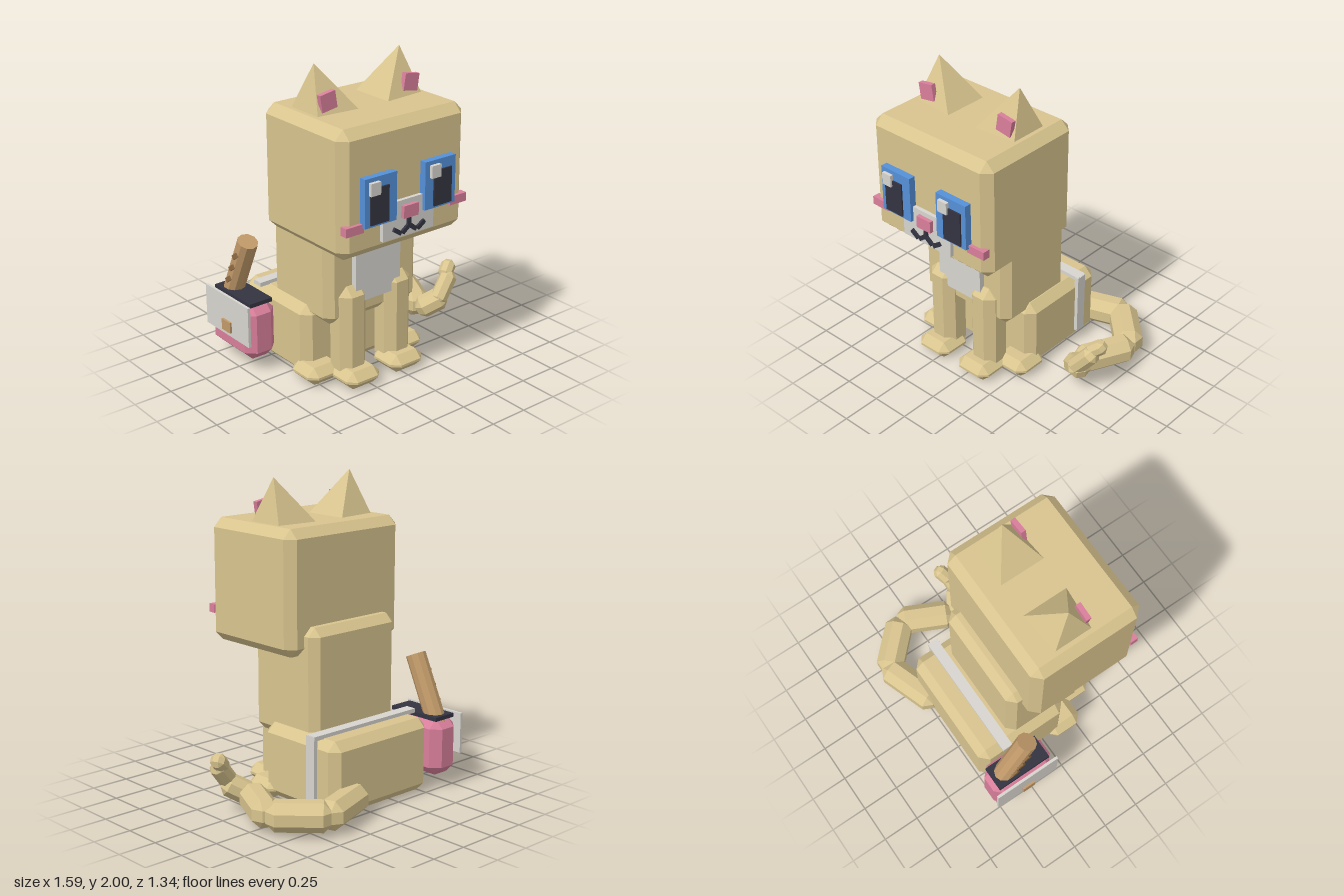
import * as THREE from 'three';
import { ConvexGeometry } from 'three/addons/geometries/ConvexGeometry.js';

const material = (name, color) => {
  const m = new THREE.MeshStandardMaterial({ color, flatShading: true });
  m.name = name;
  return m;
};

export function createModel() {
  const model = new THREE.Group();
  model.name = 'cat';
  const fur = material('tan fur', 0xd8c48e);
  const pink = material('pink', 0xd97f9b);
  const blue = material('blue', 0x5590d9);
  const dark = material('dark', 0x343442);
  const white = material('pale grey', 0xd8d5cf);
  const wood = material('wood', 0xc29a6a);
  const bark = material('dark bark', 0x8f6a42);

  const CX = -0.128; // mirror plane of the head and body

  const add = (name, geometry, mat) => {
    const mesh = new THREE.Mesh(geometry, mat);
    mesh.name = name;
    model.add(mesh);
    return mesh;
  };

  // Box with bevelled edges, centred on the origin
  const bevelBox = (w, h, d, c) => {
    const pts = [];
    for (const sx of [-1, 1]) for (const sy of [-1, 1]) for (const sz of [-1, 1]) {
      const x = w / 2, y = h / 2, z = d / 2;
      pts.push(
        new THREE.Vector3(sx * x, sy * (y - c), sz * (z - c)),
        new THREE.Vector3(sx * (x - c), sy * y, sz * (z - c)),
        new THREE.Vector3(sx * (x - c), sy * (y - c), sz * z));
    }
    return new ConvexGeometry(pts);
  };

  // Box given by its limits; c > 0 bevels the edges
  const block = (name, mat, [x0, x1], [y0, y1], [z0, z1], c = 0) => {
    const w = x1 - x0, h = y1 - y0, d = z1 - z0;
    const mesh = add(name, c ? bevelBox(w, h, d, c) : new THREE.BoxGeometry(w, h, d), mat);
    mesh.position.set((x0 + x1) / 2, (y0 + y1) / 2, (z0 + z1) / 2);
    return mesh;
  };

  // Head and body
  block('head', fur, [-0.6, 0.343], [0.947, 1.727], [-0.158, 0.6], 0.057);
  block('upperBody', fur, [-0.485, 0.23], [0.4, 1.13], [-0.245, 0.32], 0.052);
  block('lowerBody', fur, [-0.54, 0.293], [0.01, 0.487], [-0.49, 0.165], 0.056);
  block('chest', white, [-0.3, 0.045], [0.53, 1.0], [0.29, 0.358]);

  // Parts mirrored about the middle of the cat
  for (const s of [-1, 1]) {
    const side = s < 0 ? 'right' : 'left';
    const span = (a, b) => [CX + s * a, CX + s * b].sort((p, q) => p - q);

    block(side + 'FrontLeg', fur, span(0.075, 0.275), [0.02, 0.64], [0.18, 0.382], 0.055);
    block(side + 'FrontPaw', fur, span(0.045, 0.3), [0, 0.115], [0.22, 0.474], 0.05);
    block(side + 'HindPaw', fur, span(0.2, 0.455), [0.005, 0.12], [0.04, 0.29], 0.05);

    const v = (x, y, z) => new THREE.Vector3(CX + s * x, y, z);
    add(side + 'Ear', new ConvexGeometry([
      v(0.318, 2, 0.157), v(0.39, 1.715, 0.028), v(0.39, 1.715, 0.286),
      v(0.102, 1.715, 0), v(0.102, 1.715, 0.312)]), fur);
    const inner = add(side + 'InnerEar', new THREE.BoxGeometry(0.108, 0.105, 0.032), pink);
    inner.position.set(CX + s * 0.309, 1.803, 0.268);
    inner.rotation.z = -s * 0.16;

    block(side + 'Eye', blue, span(0.107, 0.341), [1.148, 1.445], [0.58, 0.645]);
    block(side + 'Pupil', dark, span(0.17, 0.306), [1.162, 1.382], [0.62, 0.655]);
    const hx = s < 0 ? -0.406 : 0.048;
    block(side + 'EyeHighlight', white, [hx - 0.035, hx + 0.035], [1.343, 1.42], [0.63, 0.668]);
    block(side + 'Cheek', pink, span(0.328, 0.457), [1.118, 1.172], [0.572, 0.622]);

    // Zigzag halves of the mouth
    [[0.026, 1.068, -0.65], [0.09, 1.066, 0.6]].forEach(([x, y, tilt]) => {
      const lip = add(side + 'Mouth', new THREE.BoxGeometry(0.064, 0.027, 0.025), dark);
      lip.position.set(CX + s * x, y, 0.627);
      lip.rotation.z = s * tilt;
    });
  }

  // Muzzle
  block('muzzle', white, [-0.32, 0.066], [1.022, 1.247], [0.59, 0.624]);
  block('nose', pink, [-0.183, -0.072], [1.14, 1.217], [0.61, 0.65]);
  block('mouthLine', dark, [CX - 0.013, CX + 0.013], [1.07, 1.14], [0.61, 0.638]);

  // Tail: bevelled links running from point to point
  const tail = [
    [[0.06, 0.117, -0.46], [0.475, 0.117, -0.605], 0.182],
    [[0.42, 0.117, -0.615], [0.7, 0.117, -0.335], 0.182],
    [[0.7, 0.117, -0.36], [0.53, 0.117, -0.01], 0.176],
    [[0.51, 0.1, 0.0], [0.66, 0.2, 0.11], 0.14],
    [[0.59, 0.16, 0.1], [0.735, 0.34, 0.075], 0.11],
    [[0.68, 0.31, 0.07], [0.775, 0.39, 0.025], 0.092],
  ];
  tail.forEach(([a, b, size], i) => {
    const from = new THREE.Vector3(...a), to = new THREE.Vector3(...b);
    const link = add('tailLink' + (i + 1), bevelBox(size, size, from.distanceTo(to), size * 0.3), fur);
    link.position.copy(from).lerp(to, 0.5);
    link.lookAt(to);
  });

  // Strap over the back
  block('strapTop', white, [-0.556, 0.312], [0.483, 0.51], [-0.343, -0.272]);
  block('strapSide', white, [0.288, 0.317], [0.09, 0.508], [-0.337, -0.268]);

  // Side bag
  block('bag', pink, [-0.775, -0.553], [0.085, 0.457], [-0.53, -0.09], 0.058);
  block('bagOpening', dark, [-0.745, -0.58], [0.45, 0.476], [-0.5, -0.118]);
  block('bagFlap', white, [-0.788, -0.77], [0.21, 0.476], [-0.54, -0.08]);
  block('bagButton', wood, [-0.802, -0.786], [0.24, 0.312], [-0.352, -0.262]);

  // Stick leaning out of the bag, with knots on its outer side
  const stick = add('stick', new THREE.CylinderGeometry(0.066, 0.066, 0.47, 10), wood);
  stick.position.set(-0.662, 0.617, -0.34);
  stick.rotation.x = 0.43;
  for (const t of [-0.07, 0.03, 0.13]) {
    const knot = new THREE.Mesh(new THREE.BoxGeometry(0.02, 0.05, 0.03), bark);
    knot.name = 'knot';
    knot.position.set(-0.064, t, 0);
    knot.rotation.x = 0.5;
    stick.add(knot);
  }

  return model;
}
